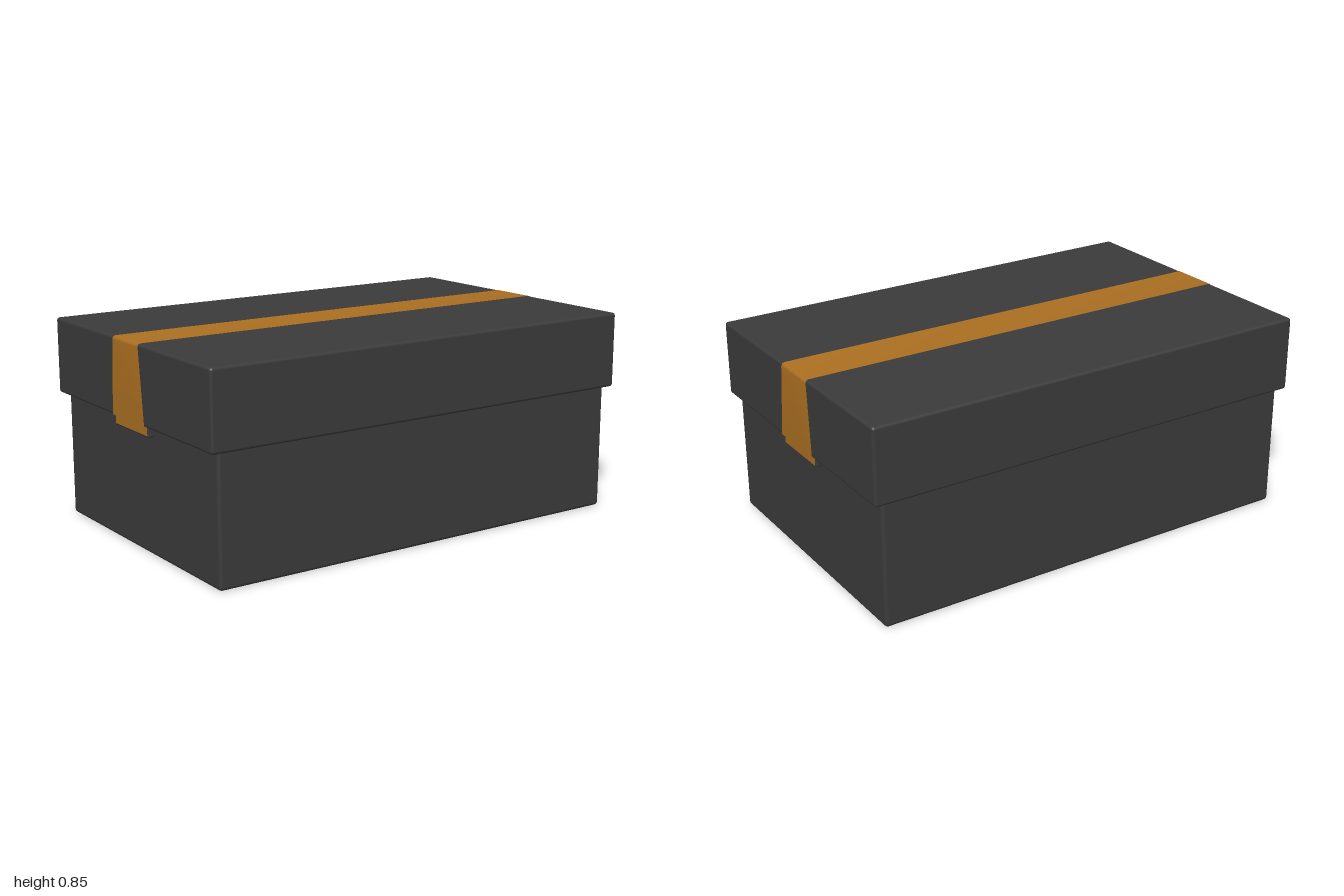
import * as THREE from 'three';
import { RoundedBoxGeometry } from 'three/addons/geometries/RoundedBoxGeometry.js';
import { toCreasedNormals } from 'three/addons/utils/BufferGeometryUtils.js';

const card = new THREE.MeshStandardMaterial({ name: 'darkCard', color: 0x3b3b3b });
const amber = new THREE.MeshStandardMaterial({ name: 'amberTape', color: 0xab6f21 });
amber.side = THREE.DoubleSide;

function roundedBox(name, w, h, d, r, x, y, z) {
  const mesh = new THREE.Mesh(new RoundedBoxGeometry(w, h, d, 3, r), card);
  mesh.name = name;
  mesh.position.set(x, y, z);
  return mesh;
}

// Ribbon through sections [x, y, zFront, zBack]
function ribbon(name, sections) {
  const positions = [], index = [];
  sections.forEach(([x, y, front, back], i) => {
    positions.push(x, y, front, x, y, back);
    if (i > 0) {
      const a = 2 * (i - 1);
      index.push(a, a + 2, a + 1, a + 1, a + 2, a + 3);
    }
  });
  const geometry = new THREE.BufferGeometry();
  geometry.setAttribute('position', new THREE.Float32BufferAttribute(positions, 3));
  geometry.setIndex(index);
  const mesh = new THREE.Mesh(toCreasedNormals(geometry, 0.6), amber);
  mesh.name = name;
  return mesh;
}

export function createModel() {
  const group = new THREE.Group();
  group.name = 'shoebox';

  // Box and overhanging lid
  group.add(roundedBox('boxBody', 1.92, 0.6, 1.225, 0.015, 0, 0.3, 0));
  group.add(roundedBox('lid', 1.994, 0.32, 1.268, 0.012, 0, 0.69, 0));

  // Tape over the lid, widening down each end
  const half = [[0.999, 0.532, 0.128, -0.134], [0.999, 0.838, 0.094, -0.116]];
  for (let i = 1; i <= 4; i++) {
    const a = (i / 4) * Math.PI / 2;
    half.push([0.985 + 0.014 * Math.cos(a), 0.838 + 0.014 * Math.sin(a), 0.092, -0.115]);
  }
  const mirrored = half.map(([x, y, f, b]) => [-x, y, f, b]).reverse();
  group.add(ribbon('tape', [...half, ...mirrored]));

  // Tape ends hanging below the lid, with dark rims
  for (const side of [-1, 1]) {
    group.add(roundedBox('tapeEnd', 0.03, 0.07, 0.268, 0.006, side * 0.97, 0.522, -0.003));
    const x = side * 0.9865;
    const face = [[x, 0.494, 0.128, -0.133], [x, 0.54, 0.127, -0.133]];
    group.add(ribbon('tapeEndFace', side > 0 ? face : face.reverse()));
  }
  return group;
}
